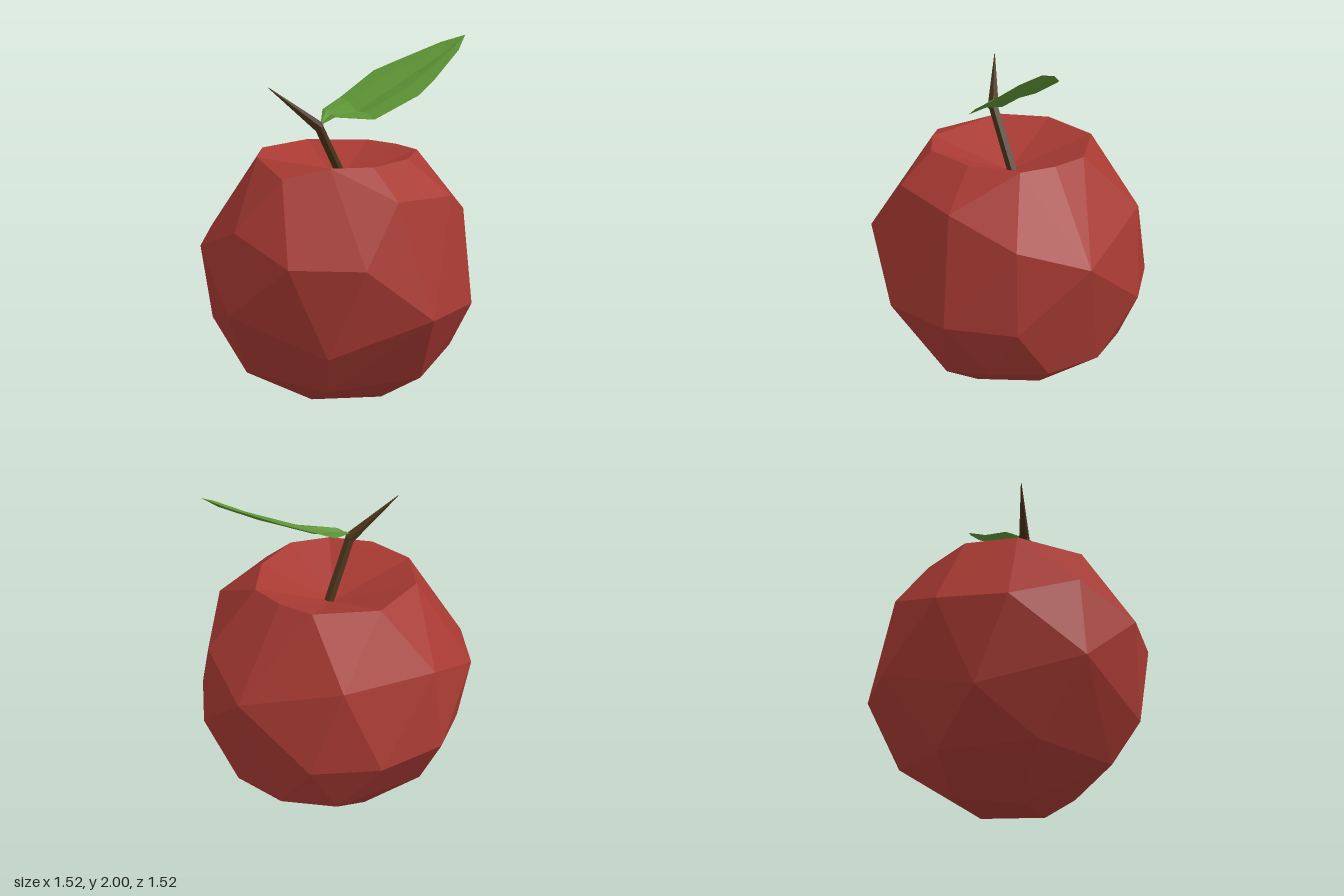
import * as THREE from 'three';
import { ConvexGeometry } from 'three/addons/geometries/ConvexGeometry.js';

const V = (p) => new THREE.Vector3(...p);
const mat = (color) => new THREE.MeshStandardMaterial({ color, flatShading: true, roughness: 0.9, side: THREE.DoubleSide });

function fromPositions(pos) {
  const g = new THREE.BufferGeometry();
  g.setAttribute('position', new THREE.Float32BufferAttribute(pos, 3));
  g.computeVertexNormals();
  return g;
}

// Faceted body: rough rings of points wrapped in a hull, its flat top replaced by a dimple
const RIM_Y = 1.385;
const rim = [[0.42, 0.12], [0.3, 0.31], [-0.19, 0.41], [-0.4, 0.21], [-0.44, -0.14],
  [-0.2, -0.4], [0, -0.43], [0.2, -0.4], [0.37, -0.17]];
const shoulder = [[0.61, 1.23, 0.12], [0.15, 1.33, 0.51], [0, 1.05, 0.71], [-0.7, 1.05, 0],
  [-0.5, 1.07, -0.5], [0.36, 1.05, -0.61], [0.57, 1.2, -0.3]];
const belly = [[0.76, 0.61, 0], [0.66, 0.92, 0.38], [0.38, 0.92, 0.66], [0, 0.61, 0.76],
  [-0.39, 0.9, 0.65], [-0.66, 0.92, 0.38], [-0.76, 0.61, 0], [-0.66, 0.61, -0.38],
  [-0.4, 0.61, -0.65], [0, 0.92, -0.76], [0.38, 0.6, -0.65], [0.66, 0.61, -0.38]];
const underside = [[0.5, 0.44, 0.5], [-0.5, 0.44, 0.5], [-0.15, 0.21, 0.53], [0.38, 0.21, 0.4],
  [0.51, 0.2, -0.15], [-0.51, 0.2, 0.15], [0.42, 0.3, -0.46], [-0.42, 0.3, -0.46],
  [0.16, 0.3, -0.62], [-0.16, 0.3, -0.62]];
const foot = [[-0.03, 0, 0.17], [0.27, 0.04, -0.08], [-0.3, 0.05, -0.08], [0, 0.05, -0.3]];

function bodyGeometry() {
  const rimPts = rim.map(([x, z]) => [x, RIM_Y, z]);
  const hull = new ConvexGeometry([...rimPts, ...shoulder, ...belly, ...underside, ...foot].map(V));
  const a = hull.attributes.position.array;
  const pos = [];
  for (let i = 0; i < a.length; i += 9) {
    const cap = [1, 4, 7].every((k) => a[i + k] > RIM_Y - 0.005);
    if (!cap) pos.push(...a.slice(i, i + 9));
  }
  rimPts.forEach((p, i) => pos.push(0, 1.22, 0, ...rimPts[(i + 1) % rimPts.length], ...p));
  return fromPositions(pos);
}

// Tapered few-sided rod between two points
function rod(from, to, r0, r1, material, name) {
  const a = V(from), b = V(to), dir = b.clone().sub(a);
  const mesh = new THREE.Mesh(new THREE.CylinderGeometry(r1, r0, dir.length(), 5), material);
  mesh.position.copy(a).add(b).multiplyScalar(0.5);
  mesh.quaternion.setFromUnitVectors(new THREE.Vector3(0, 1, 0), dir.normalize());
  mesh.name = name;
  return mesh;
}

// Pleated leaf: stations of left and right edge points from base to tip
function leafGeometry() {
  const base = [0.03, 1.56, 0.15], tip = [0.27, 2, -0.69];
  const stations = [
    [base, base],
    [[-0.06, 1.625, 0.06], [0.08, 1.6, 0.09]],
    [[-0.1, 1.67, -0.1], [0.27, 1.6, -0.02]],
    [[-0.08, 1.8, -0.33], [0.37, 1.72, -0.25]],
    [[-0.02, 1.845, -0.42], [0.36, 1.79, -0.37]],
    [[0.15, 1.955, -0.62], [0.33, 1.93, -0.58]],
    [tip, tip],
  ];
  const pleat = [0, 0.004, -0.016, 0.008, 0];
  const rows = stations.map(([l, r]) => pleat.map((d, i) => {
    const p = V(l).lerp(V(r), i / 4);
    if (l !== r) p.y += d;
    return p.toArray();
  }));
  const pos = [];
  for (let s = 0; s < rows.length - 1; s++) {
    for (let i = 0; i < 4; i++) {
      const a = rows[s][i], b = rows[s][i + 1], c = rows[s + 1][i + 1], d = rows[s + 1][i];
      if (s > 0) pos.push(...a, ...b, ...c);
      if (s === 0) pos.push(...a, ...c, ...d);
      else if (s < rows.length - 2) pos.push(...a, ...c, ...d);
    }
  }
  return fromPositions(pos);
}

export function createModel() {
  const model = new THREE.Group();
  model.name = 'apple';

  const body = new THREE.Mesh(bodyGeometry(), mat(0xa83a33));
  body.name = 'body';

  // Bent stem ending in a sharp tip
  const brown = mat(0x4a3219);
  const stem = new THREE.Group();
  stem.name = 'stem';
  stem.add(rod([0.005, 1.2, -0.05], [0.01, 1.56, 0.155], 0.027, 0.026, brown, 'lowerStem'));
  stem.add(rod([0.015, 1.54, 0.14], [-0.14, 1.76, 0.365], 0.032, 0.002, brown, 'stemTip'));

  const leaf = new THREE.Mesh(leafGeometry(), mat(0x5f9636));
  leaf.name = 'leaf';

  model.add(body, stem, leaf);
  return model;
}
